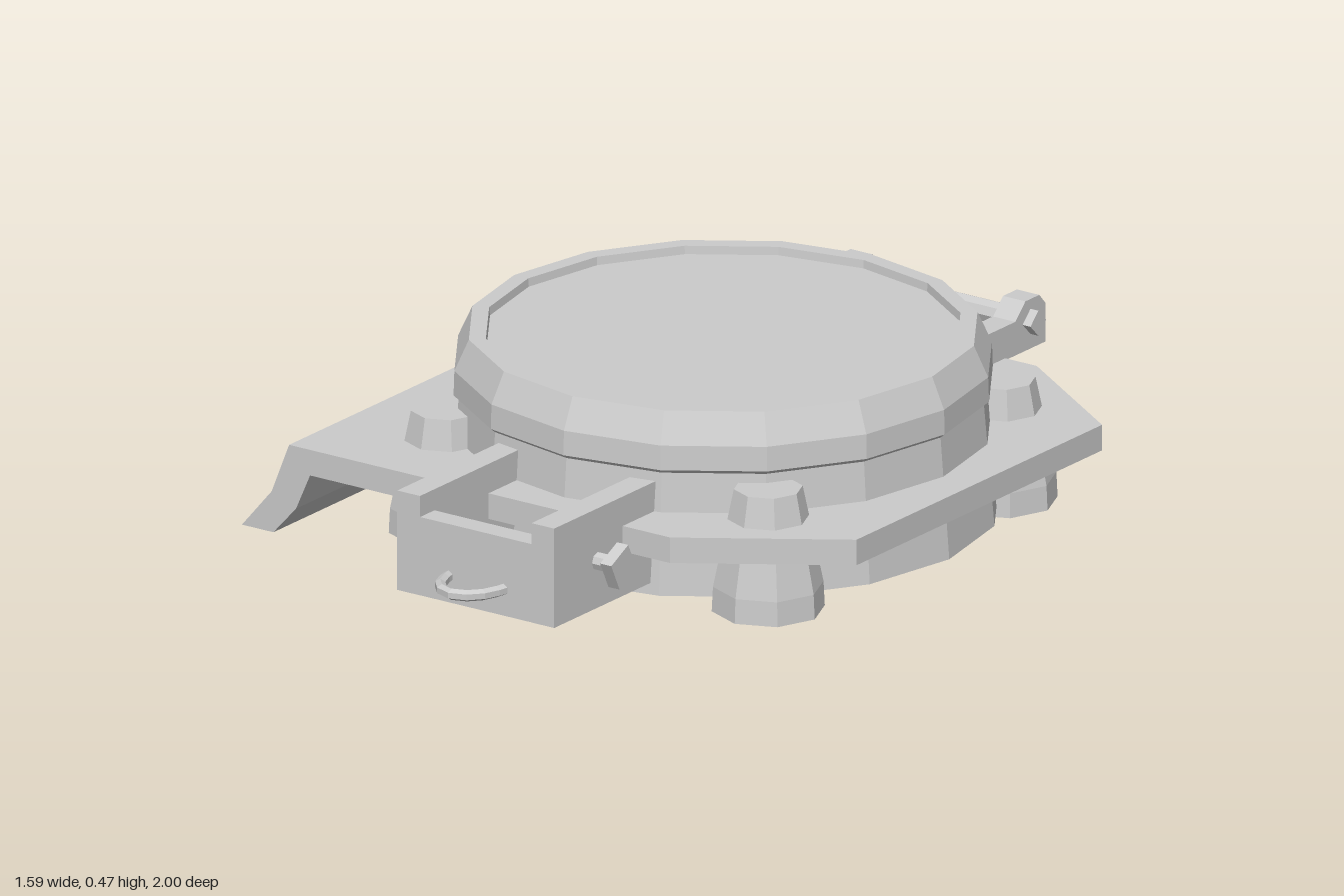
import * as THREE from 'three';

const CX = 0.07, CZ = -0.095; // drum axis

export function createModel() {
  const root = new THREE.Group();
  const mat = new THREE.MeshStandardMaterial({ color: 0xcccccc, flatShading: true });

  const add = (name, geo, x = 0, y = 0, z = 0, parent = root) => {
    const mesh = new THREE.Mesh(geo, mat);
    mesh.name = name;
    mesh.position.set(x, y, z);
    parent.add(mesh);
    return mesh;
  };
  const points = (list) => list.map(([a, b]) => new THREE.Vector2(a, b));
  const extrude = (list, depth) =>
    new THREE.ExtrudeGeometry(new THREE.Shape(points(list)), { depth, bevelEnabled: false });
  const lathe = (list, sides) => new THREE.LatheGeometry(points(list), sides);
  const rod = (r, length, sides) => new THREE.CylinderGeometry(r, r, length, sides).rotateZ(Math.PI / 2);

  // Drum with a raised band, chamfered rim and shallow recessed lid
  add('drum', lathe([
    [0, 0.025], [0.647, 0.025], [0.622, 0.32], [0.634, 0.33], [0.632, 0.39],
    [0.598, 0.465], [0.558, 0.465], [0.556, 0.445], [0, 0.445],
  ], 16), CX, 0, CZ);

  // Flat deck with two clipped corners (drawn as x, -z)
  add('deck', extrude([
    [-0.62, -0.615], [0.43, -0.615], [0.79, -0.375],
    [0.79, 0.6], [0.43, 0.84], [-0.62, 0.84],
  ], 0.063).rotateX(-Math.PI / 2), 0, 0.162, 0);

  // Skirt bending down to the ground along one side
  add('sideSkirt', extrude([
    [-0.6, 0.225], [-0.66, 0.225], [-0.71, 0.1], [-0.795, 0],
    [-0.705, 0], [-0.64, 0.072], [-0.6, 0.162],
  ], 1.455), 0, 0, -0.84);

  // Four tapered feet passing through the deck
  const foot = lathe([[0, 0], [0.133, 0], [0.13, 0.06], [0.081, 0.298], [0, 0.298]], 8);
  for (const sx of [-1, 1]) {
    for (const sz of [-1, 1]) add('foot', foot, CX + sx * 0.462, 0, CZ + sz * 0.462);
  }

  // Front bracket: two cheeks and a lower cross wall
  const bracket = new THREE.Group();
  bracket.name = 'frontBracket';
  root.add(bracket);
  for (const s of [-1, 1]) {
    add('cheek', new THREE.BoxGeometry(0.065, 0.245, 0.42), CX + s * 0.192, 0.175, 0.677, bracket);
    // Bolt heads outside the cheeks
    const head = add('boltHead', rod(0.053, 0.032, 4), CX + s * 0.284, 0.168, 0.715, bracket);
    head.rotation.x = -0.33;
  }
  add('crossWall', new THREE.BoxGeometry(0.33, 0.193, 0.057), CX, 0.149, 0.858, bracket);
  add('bolt', rod(0.022, 0.58, 8), CX, 0.168, 0.715, bracket);

  // Pull handle
  const loop = new THREE.CatmullRomCurve3([
    [-0.082, 0.87], [-0.072, 0.915], [-0.048, 0.962], [0, 0.984],
    [0.048, 0.962], [0.072, 0.915], [0.082, 0.87],
  ].map(([x, z]) => new THREE.Vector3(CX + x, 0.117, z)));
  add('pullHandle', new THREE.TubeGeometry(loop, 8, 0.014, 6), 0, 0, 0, bracket);

  // Rear hinge: two arms with raised knuckles (drawn as z, y) and a pin
  const hinge = new THREE.Group();
  hinge.name = 'rearHinge';
  root.add(hinge);
  const arm = extrude([
    [-0.62, 0.22], [-0.62, 0.303], [-0.88, 0.303], [-0.92, 0.342],
    [-0.975, 0.342], [-1, 0.315], [-1, 0.22],
  ], 0.064).rotateY(-Math.PI / 2);
  for (const s of [-1, 1]) {
    add('hingeArm', arm, CX + s * 0.238 + 0.032, 0, 0, hinge);
    add('pinHead', rod(0.031, 0.025, 4), CX + s * 0.28, 0.287, -0.94, hinge);
  }
  add('hingePin', rod(0.028, 0.5, 8), CX, 0.287, -0.94, hinge);

  return root;
}
